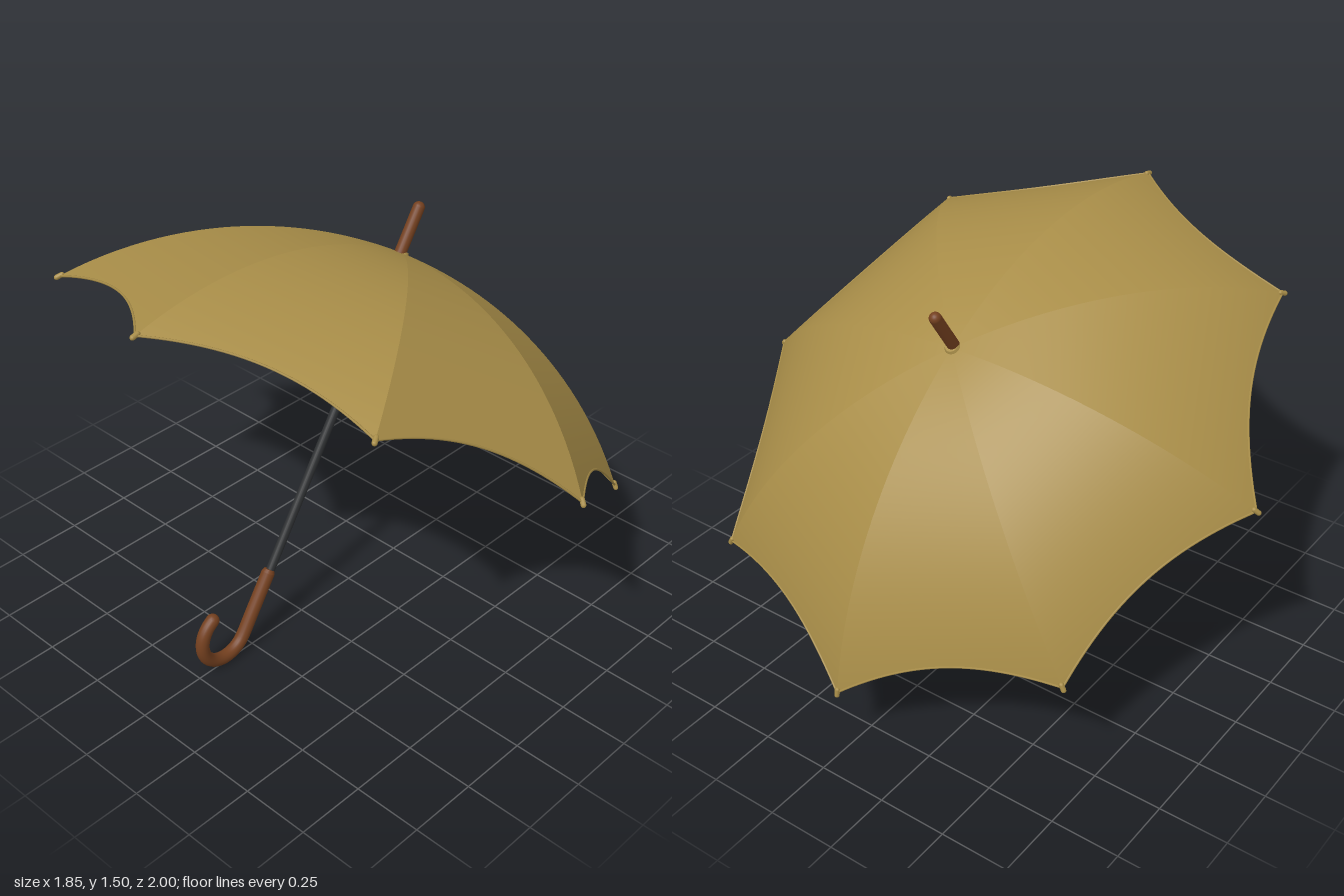
import * as THREE from 'three';
import { ParametricGeometry } from 'three/addons/geometries/ParametricGeometry.js';

const RX = 1.083, RZ = 0.983, HEIGHT = 0.488, SCALLOP = 0.055, RIBS = 8;
const ARC = (RX * RX + HEIGHT * HEIGHT) / (2 * HEIGHT);
const AXIS_X = -0.014; // pole sits slightly off the canopy centre

const material = (name, color) => {
  const m = new THREE.MeshStandardMaterial({ color });
  m.name = name;
  return m;
};

// Point on a rib: angle around the pole, t from crown (0) to tip (1)
function ribPoint(angle, t, drop = 0) {
  const x = RX * t;
  const z = RZ * t * Math.sin(angle);
  const y = HEIGHT - ARC + Math.sqrt(ARC * ARC - x * x) - drop;
  return new THREE.Vector3(x * Math.cos(angle) + 0.028 * z, y, z);
}

export function createModel() {
  const cloth = material('ochre cloth', 0xa88d48);
  cloth.side = THREE.DoubleSide;
  const wood = material('brown wood', 0x74401f);
  const metal = material('dark metal', 0x2d2f31);

  const model = new THREE.Group();
  model.name = 'umbrella';
  const tilted = new THREE.Group();
  tilted.name = 'tiltedUmbrella';
  tilted.position.y = 0.85;
  tilted.rotation.z = -0.576;
  model.add(tilted);

  const add = (name, geometry, mat, x = 0, y = 0, z = 0) => {
    const mesh = new THREE.Mesh(geometry, mat);
    mesh.name = name;
    mesh.position.set(x, y, z);
    tilted.add(mesh);
    return mesh;
  };
  const rod = (name, points, radius, mat, segments = 20, sides = 8) =>
    add(name, new THREE.TubeGeometry(new THREE.CatmullRomCurve3(points), segments, radius, sides), mat);

  const step = (Math.PI * 2) / RIBS;
  for (let i = 0; i < RIBS; i++) {
    const a = i * step;

    // Cloth panel stretched between two ribs, with a scalloped hem
    const panel = (u, v, target) => {
      const t = (0.01 + 0.99 * v) * (1 - SCALLOP * 4 * u * (1 - u));
      target.copy(ribPoint(a, t)).lerp(ribPoint(a + step, t), u);
    };
    add('canopyPanel', new ParametricGeometry(panel, 16, 28), cloth);

    // Hem along the panel edge
    const hem = [];
    for (let k = 0; k <= 12; k++) {
      const p = new THREE.Vector3();
      panel(k / 12, 1, p);
      hem.push(p);
    }
    rod('hem', hem, 0.004, cloth, 24, 6);

    // Rib under the cloth
    const ribPoints = [];
    for (let k = 0; k <= 10; k++) ribPoints.push(ribPoint(a, 0.02 + 0.097 * k, 0.009));
    rod('rib', ribPoints, 0.005, metal, 24, 6);

    // Stretcher from the runner to the rib
    const inner = new THREE.Vector3(AXIS_X + 0.025 * Math.cos(a), 0.13, 0.025 * Math.sin(a));
    rod('stretcher', [inner, ribPoint(a, 0.48, 0.012)], 0.005, metal, 1, 6);

    // Rib tip
    const end = ribPoint(a, 1);
    const outward = end.clone().sub(ribPoint(a, 0.97)).normalize();
    const tip = add('ribTip', new THREE.CapsuleGeometry(0.009, 0.02, 4, 10), cloth);
    tip.position.copy(end);
    tip.quaternion.setFromUnitVectors(new THREE.Vector3(0, 1, 0), outward);
  }

  // Pole, runner and crown
  add('pole', new THREE.CylinderGeometry(0.016, 0.016, 1.24, 20), metal, AXIS_X - 0.004, -0.14);
  add('runner', new THREE.CylinderGeometry(0.026, 0.026, 0.1, 20), metal, AXIS_X, 0.11);
  add('crownCap', new THREE.CylinderGeometry(0.022, 0.03, 0.014, 20), cloth, -0.004, 0.489);

  // Wooden top spike with a rounded end
  add('spike', new THREE.CapsuleGeometry(0.021, 0.17, 6, 20), wood, AXIS_X + 0.002, 0.568);

  // Crook handle: straight grip followed by a hook
  const gripX = -0.024, hookR = 0.103, hookY = -0.953;
  const path = [-0.715, -0.79, -0.87].map((y) => new THREE.Vector3(gripX, y, 0));
  for (let k = 0; k <= 14; k++) {
    const a = (-207 * Math.PI / 180) * (k / 14);
    path.push(new THREE.Vector3(gripX - hookR + hookR * Math.cos(a), hookY + hookR * Math.sin(a), 0));
  }
  rod('handle', path, 0.024, wood, 64, 18);
  add('handleEnd', new THREE.SphereGeometry(0.024, 18, 12), wood).position.copy(path[path.length - 1]);
  add('handleCollar', new THREE.CylinderGeometry(0.018, 0.024, 0.012, 18), wood, gripX, -0.709);

  return model;
}
